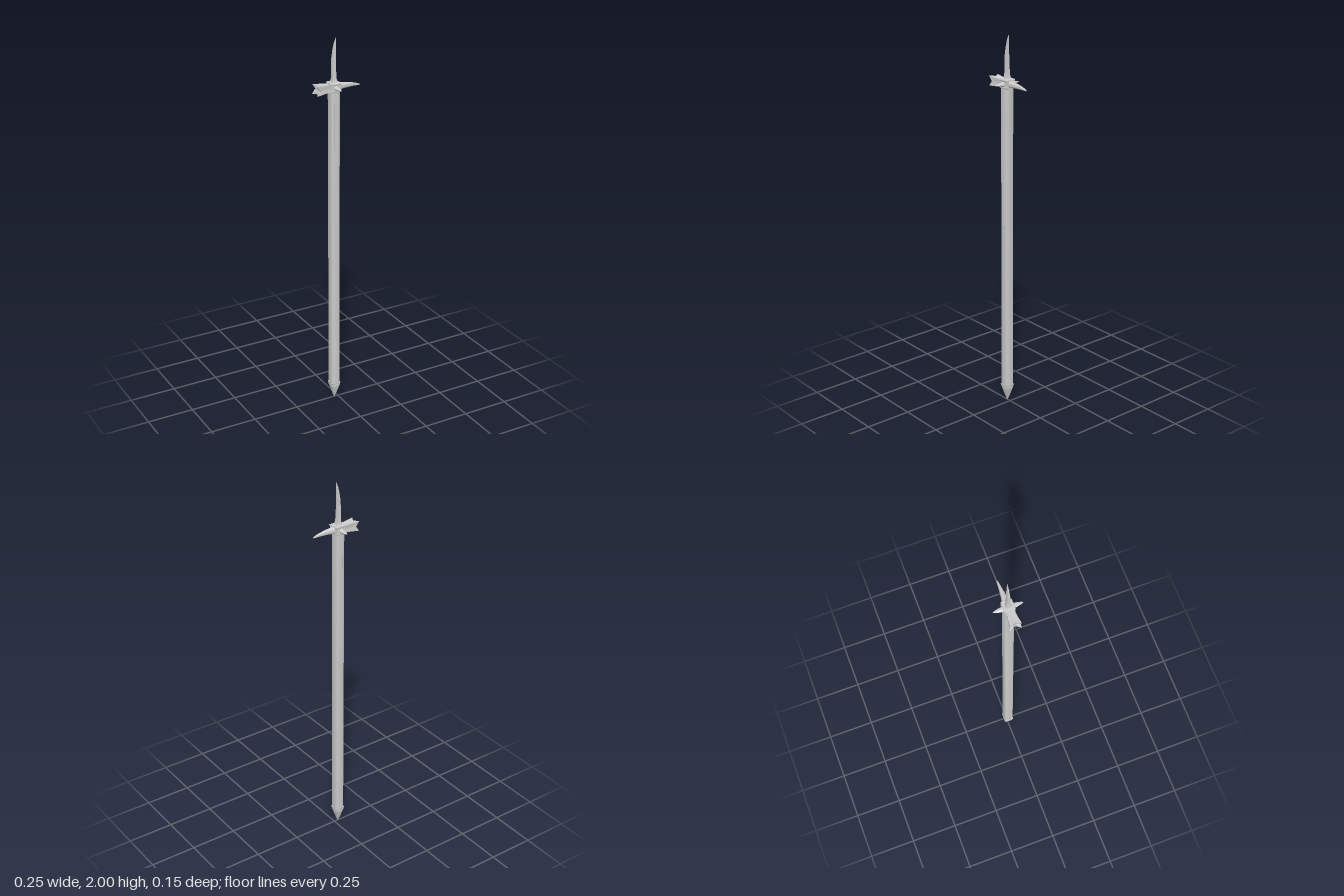
import * as THREE from 'three';
import { toCreasedNormals } from 'three/addons/utils/BufferGeometryUtils.js';

const AXIS_X = -0.022, HEAD_Y = 1.755;
const material = new THREE.MeshStandardMaterial({ color: 0xcccccc });

// Unit cross-sections, listed as [x, z] from +z towards +x
const square = [[-1, 1], [1, 1], [1, -1], [-1, -1]];
const notched = [[-1, 1], [0, 0.9], [1, 1], [0.9, 0], [1, -1], [0, -0.9], [-1, -1], [-0.9, 0]];
const circle = (n) => Array.from({ length: n }, (_, i) => {
  const a = (i / n) * Math.PI * 2;
  return [Math.sin(a), Math.cos(a)];
});
const roundedSquare = (r, steps = 4) => {
  const points = [];
  for (let c = 0; c < 4; c++) {
    const start = (c * Math.PI) / 2;
    const cx = Math.sign(Math.sin(start + Math.PI / 4)) * (1 - r);
    const cz = Math.sign(Math.cos(start + Math.PI / 4)) * (1 - r);
    for (let i = 0; i <= steps; i++) {
      const a = start + ((i / steps) * Math.PI) / 2;
      points.push([cx + r * Math.sin(a), cz + r * Math.cos(a)]);
    }
  }
  return points;
};

// Skin a section along +y; stations are [y, halfX, halfZ, offsetX]
function loft(section, stations, { crease = 0.7, bend } = {}) {
  const positions = [], index = [], n = section.length;
  const add = (x, y, z, s) => {
    const p = new THREE.Vector3(x, y, z);
    if (bend) bend(p, s);
    positions.push(p.x, p.y, p.z);
  };
  stations.forEach((s) => {
    const [y, hx, hz, ox = 0] = s;
    section.forEach(([x, z]) => add(x * hx + ox, y, z * hz, s));
  });
  const first = stations[0], last = stations[stations.length - 1];
  const bottom = n * stations.length, top = bottom + 1;
  add(first[3] || 0, first[0], 0, first);
  add(last[3] || 0, last[0], 0, last);
  for (let j = 0; j < n; j++) {
    const k = (j + 1) % n;
    for (let i = 0; i < stations.length - 1; i++) {
      const a = i * n, b = a + n;
      index.push(a + j, a + k, b + j, a + k, b + k, b + j);
    }
    index.push(bottom, k, j, top, top - 2 - n + j, top - 2 - n + k);
    index.splice(-3, 3, top, (stations.length - 1) * n + j, (stations.length - 1) * n + k);
  }
  const geometry = new THREE.BufferGeometry();
  geometry.setAttribute('position', new THREE.Float32BufferAttribute(positions, 3));
  geometry.setIndex(index);
  return toCreasedNormals(geometry, crease);
}

export function createModel() {
  const group = new THREE.Group();
  group.name = 'warHammer';
  const add = (name, geometry, x = AXIS_X, y = 0, z = 0) => {
    const mesh = new THREE.Mesh(geometry, material);
    mesh.name = name;
    mesh.position.set(x, y, z);
    group.add(mesh);
    return mesh;
  };

  // Long pole with softened corners
  add('shaft', loft(roundedSquare(0.34), [[0.075, 0.024, 0.024], [1.745, 0.024, 0.024]]));

  // Pointed foot
  add('shoe', loft(square, [
    [0, 0.001, 0.001], [0.02, 0.007, 0.007], [0.05, 0.015, 0.015],
    [0.08, 0.0225, 0.0225], [0.095, 0.0255, 0.0255],
  ]));

  // Narrow reinforcing strips with rounded lower ends, front and back
  const strip = new THREE.Shape();
  strip.moveTo(0.011, 1.745);
  strip.lineTo(-0.011, 1.745);
  strip.lineTo(-0.011, 1.011);
  strip.absarc(0, 1.011, 0.011, Math.PI, Math.PI * 2, false);
  const stripGeometry = new THREE.ExtrudeGeometry(strip, {
    depth: 0.002, bevelThickness: 0.001, bevelSize: 0.001, bevelOffset: -0.001, bevelSegments: 1,
  });
  for (const side of [1, -1]) {
    add(side > 0 ? 'frontLanget' : 'backLanget', stripGeometry, AXIS_X, 0, side * 0.0225)
      .rotation.y = side > 0 ? 0 : Math.PI;
  }

  // Socket block with bevelled rims
  add('socket', loft(square, [
    [1.732, 0.025, 0.025], [1.735, 0.0275, 0.0275], [1.741, 0.0275, 0.0275], [1.744, 0.026, 0.026],
    [1.768, 0.026, 0.026], [1.771, 0.0275, 0.0275], [1.776, 0.0275, 0.0275], [1.78, 0.0245, 0.0245],
  ], { crease: 0.3 }));

  // Collars under the hammer and the beak
  for (const side of [-1, 1]) {
    add(side < 0 ? 'hammerCollar' : 'beakCollar', new THREE.BoxGeometry(0.005, 0.04, 0.046),
      AXIS_X + side * 0.028, HEAD_Y);
  }

  // Curved top blade
  add('topSpike', loft(square, [
    [1.776, 0.015, 0.017], [1.786, 0.0125, 0.013], [1.8, 0.01, 0.0105], [1.85, 0.0095, 0.008, -0.001],
    [1.9, 0.0095, 0.0065, -0.001], [1.94, 0.0075, 0.0045, 0.002],
    [1.975, 0.0045, 0.0025, 0.006], [2, 0.0006, 0.0006, 0.011],
  ], { crease: 0.5 }));

  // Flared hammer whose face is cut into four prongs
  const cutFace = (p, [y, hx, hz]) => {
    if (y > 0.1) p.y -= 0.016 * (1 - Math.min(Math.abs(p.x) / hx, Math.abs(p.z) / hz));
  };
  add('hammer', loft(notched, [
    [0.024, 0.018, 0.02], [0.05, 0.0195, 0.0215], [0.075, 0.022, 0.0245], [0.106, 0.0255, 0.0285],
  ], { crease: 0.1, bend: cutFace }).rotateZ(Math.PI / 2), AXIS_X, HEAD_Y - 0.002);

  // Tapering beak that droops towards its tip
  add('beak', loft(circle(16), [
    [0.024, 0.019, 0.021], [0.035, 0.0175, 0.0185], [0.055, 0.015, 0.0145], [0.08, 0.0125, 0.011, 0.001],
    [0.11, 0.009, 0.0075, 0.003], [0.135, 0.0055, 0.0045, 0.007], [0.146, 0.003, 0.0025, 0.009],
    [0.149, 0.0008, 0.0008, 0.01],
  ]).rotateZ(-Math.PI / 2), AXIS_X, HEAD_Y);

  // Leaf-shaped side spikes, front and back
  for (const side of [1, -1]) {
    const spike = loft(circle(12), [
      [0.022, 0.0155, 0.013], [0.032, 0.0135, 0.0105], [0.045, 0.011, 0.008],
      [0.06, 0.0075, 0.005], [0.07, 0.004, 0.0028], [0.077, 0.0006, 0.0006],
    ]).rotateX((side * Math.PI) / 2);
    add(side > 0 ? 'frontSpike' : 'backSpike', spike, AXIS_X, HEAD_Y - 0.002);
  }
  return group;
}
